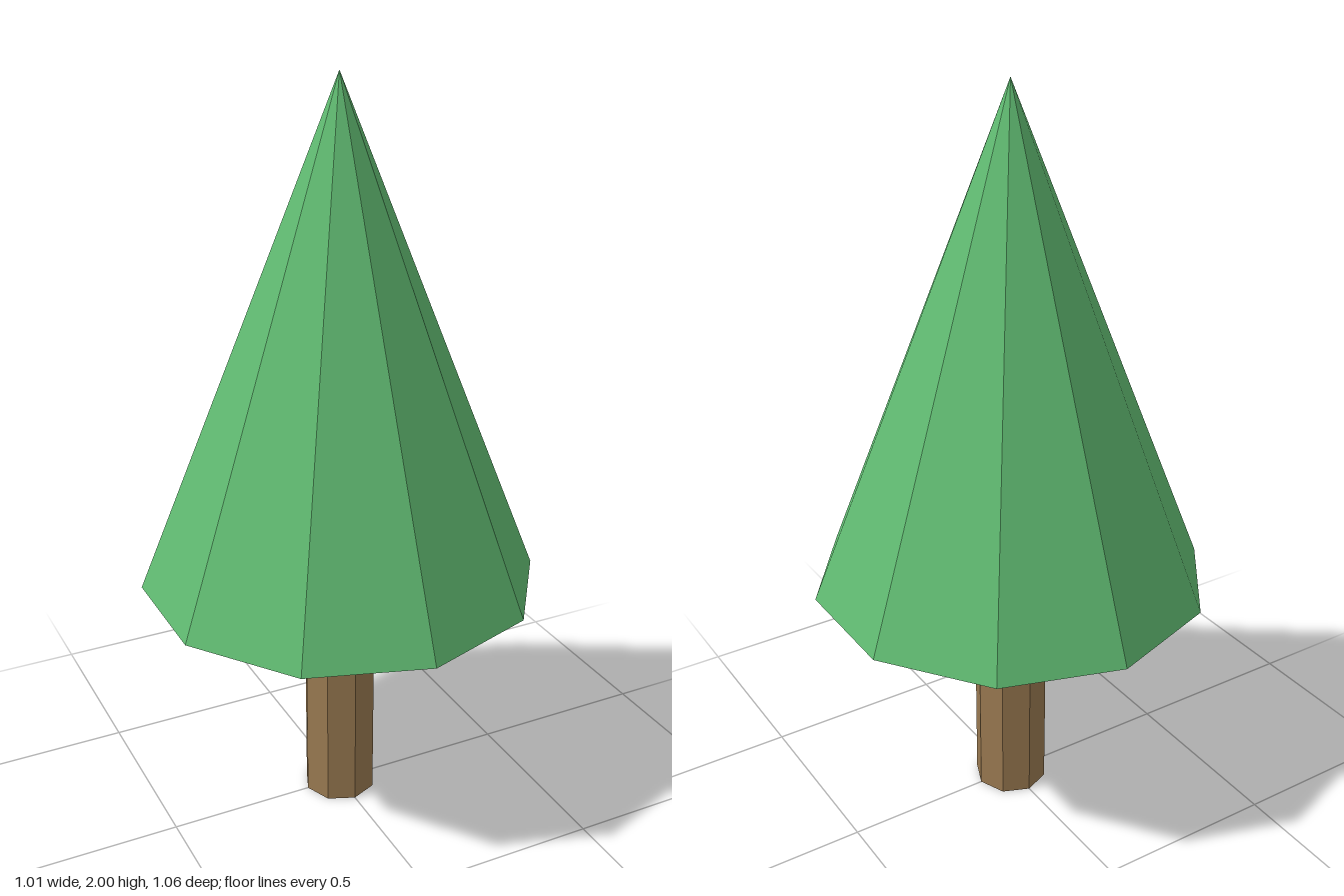
import * as THREE from 'three';

const TRUNK_HEIGHT = 0.67;
const TOTAL_HEIGHT = 2;

function addPart(group, name, geometry, color, y) {
  const material = new THREE.MeshStandardMaterial({ color, flatShading: true });
  const mesh = new THREE.Mesh(geometry, material);
  mesh.name = name;
  mesh.position.y = y;
  group.add(mesh);
}

export function createModel() {
  const tree = new THREE.Group();
  tree.name = 'tree';

  // Eight-sided trunk, a corner facing the front
  addPart(tree, 'trunk', new THREE.CylinderGeometry(0.1, 0.1, TRUNK_HEIGHT, 8),
    0x997950, TRUNK_HEIGHT / 2);

  // Ten-sided closed cone of leaves, a corner facing the front
  const height = TOTAL_HEIGHT - TRUNK_HEIGHT;
  addPart(tree, 'foliage', new THREE.ConeGeometry(0.53, height, 10),
    0x60ba71, TRUNK_HEIGHT + height / 2);

  return tree;
}
